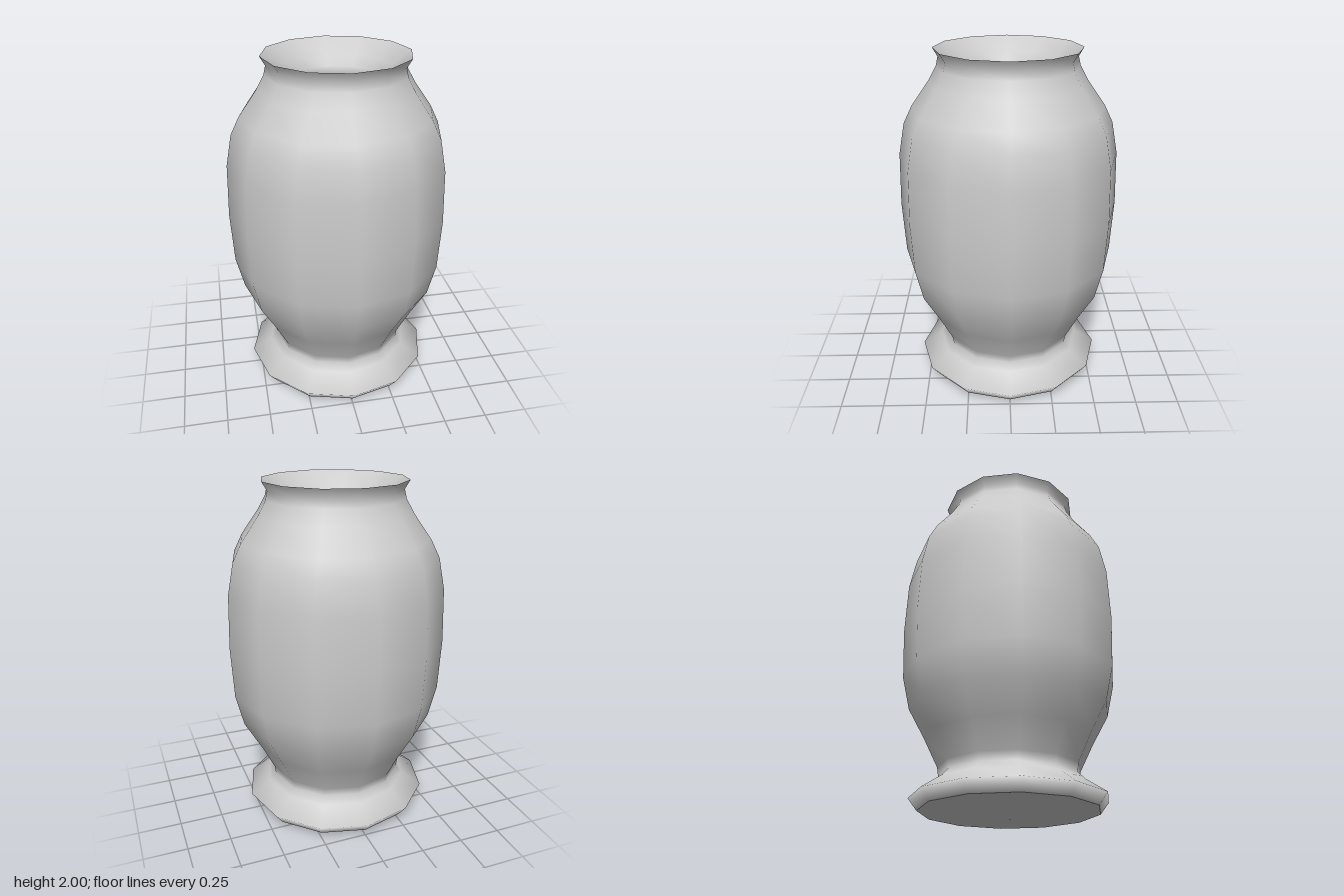
import * as THREE from 'three';

const SIDES = 12;

// Turned surface from [radius, height] pairs; the pairs run upward on outer faces
function turned(name, profile) {
  const points = profile.map(([r, y]) => new THREE.Vector2(r, y));
  const material = new THREE.MeshStandardMaterial({ color: 0xcccccc });
  const mesh = new THREE.Mesh(new THREE.LatheGeometry(points, SIDES), material);
  mesh.name = name;
  return mesh;
}

export function createModel() {
  const vase = new THREE.Group();
  vase.name = 'vase';

  // Shallow underside
  vase.add(turned('underside', [[0, 0], [0.5, 0.035]]));

  // Flared foot, belly, shoulder and lip
  vase.add(turned('outerBody', [
    [0.5, 0.035], [0.55, 0.1], [0.43, 0.18], [0.393, 0.22], [0.4, 0.27],
    [0.48, 0.43], [0.575, 0.6], [0.62, 0.79], [0.635, 1.09], [0.625, 1.4],
    [0.59, 1.58], [0.54, 1.68], [0.44, 1.82], [0.395, 1.9], [0.383, 1.95], [0.412, 2],
  ]));

  // Funnel-shaped mouth, narrow throat and hollow inside
  vase.add(turned('innerWall', [
    [0.412, 2], [0.31, 1.92], [0.265, 1.86], [0.252, 1.81], [0.29, 1.74],
    [0.4, 1.62], [0.47, 1.5], [0.51, 1.35], [0.52, 1.09], [0.5, 0.8],
    [0.45, 0.6], [0.36, 0.43], [0.28, 0.3],
  ]));

  // Floor of the hollow
  vase.add(turned('innerFloor', [[0.28, 0.3], [0, 0.3]]));

  return vase;
}
